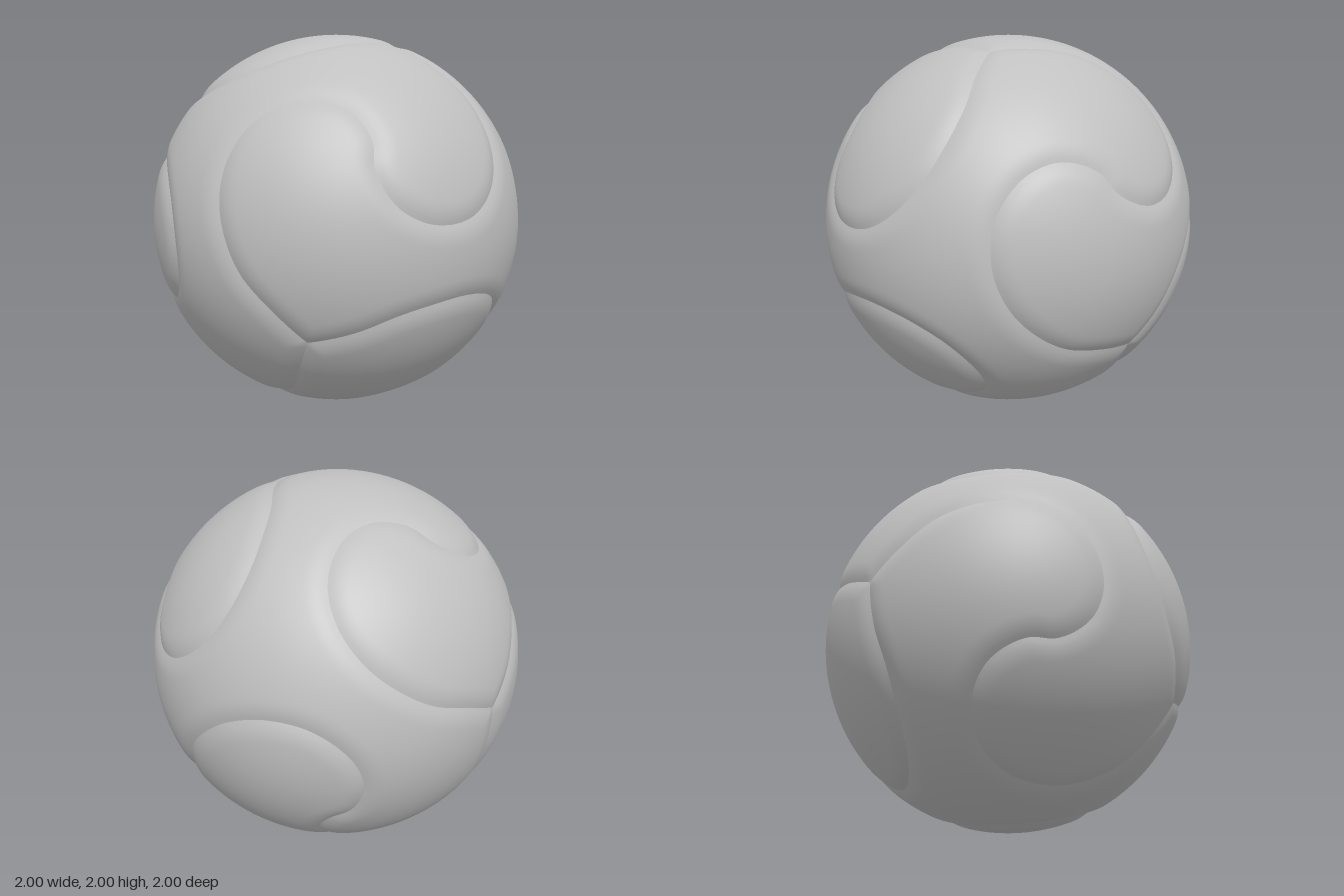
import * as THREE from 'three';
import { mergeVertices } from 'three/addons/utils/BufferGeometryUtils.js';

const DEPTH = 0.016;      // how far the seams sink
const ROLL = 0.1;         // width of the rounded panel edge
const DETAIL = 66;
const SNAP = 0.012;       // vertices this close to a seam move onto it
const turn = (axis, deg) => new THREE.Quaternion().setFromAxisAngle(axis, THREE.MathUtils.degToRad(deg));

// Two corners of a regular tetrahedron, where three panels meet
const a = new THREE.Vector3(-0.0575, -0.438, 0.897).normalize();
const u = new THREE.Vector3(0.335, 0.925, 0.13).projectOnPlane(a).normalize();
const v = a.clone().cross(u);
const c = a.clone().multiplyScalar(-1 / 3).addScaledVector(u, Math.sqrt(8) / 3);
const mid = a.clone().add(c).normalize();

// S-shaped seam from corner a to corner c: half drawn, half turned about its middle
function seamPoints(count) {
  const half = [
    [-0.206, -0.279], [-0.357, -0.107], [-0.437, 0.08], [-0.458, 0.241], [-0.421, 0.413],
    [-0.324, 0.552], [-0.206, 0.627], [-0.046, 0.66], [0.099, 0.627], [0.19, 0.552], [0.235, 0.47],
  ].map(([x, y]) => new THREE.Vector3(x, y, Math.sqrt(0.97 - x * x - y * y)).normalize());
  half.unshift(a.clone());
  const flip = turn(mid, 180);
  const other = half.map((p) => p.clone().applyQuaternion(flip)).reverse();
  const curve = new THREE.CatmullRomCurve3([...half, mid.clone(), ...other], false, 'centripetal');
  return curve.getSpacedPoints(count).map((p) => p.normalize());
}

// Closed outline of the panel opposite corner a
function panelOutline() {
  const edge = seamPoints(150).map((p) => p.applyQuaternion(turn(c, 120)));
  const loop = [];
  for (let k = 0; k < 3; k++) {
    const q = turn(a, 120 * k);
    edge.slice(0, -1).forEach((p) => loop.push(p.clone().applyQuaternion(q)));
  }
  return loop;
}

// One domed panel, cut from a fine sphere and rolled down at its seams
function panelGeometry() {
  const loop = panelOutline();
  const lines = loop.map((p, i) => new THREE.Line3(p, loop[(i + 1) % loop.length]));
  const flat = (p) => {
    const s = 1 / Math.max(1 - p.dot(a), 1e-6);
    return [p.dot(u) * s, p.dot(v) * s];
  };
  const polygon = loop.map(flat);
  const inside = (p) => {
    const [x, y] = flat(p);
    let hit = false;
    for (let i = 0, j = polygon.length - 1; i < polygon.length; j = i++) {
      const [xi, yi] = polygon[i], [xj, yj] = polygon[j];
      if ((yi > y) !== (yj > y) && x < ((xj - xi) * (y - yi)) / (yj - yi) + xi) hit = !hit;
    }
    return hit;
  };

  let ball = new THREE.IcosahedronGeometry(1, DETAIL);
  ball.deleteAttribute('uv');
  ball.deleteAttribute('normal');
  ball = mergeVertices(ball, 1e-5);
  const pos = ball.attributes.position;
  const points = [], radii = [];
  const near = new THREE.Vector3(), best = new THREE.Vector3();
  for (let i = 0; i < pos.count; i++) {
    const p = new THREE.Vector3().fromBufferAttribute(pos, i);
    let d2 = Infinity;
    for (const line of lines) {
      if (line.start.distanceToSquared(p) > 0.03) continue;
      line.closestPointToPoint(p, true, near);
      const e = near.distanceToSquared(p);
      if (e < d2) { d2 = e; best.copy(near); }
    }
    let d = Math.sqrt(d2);
    if (d < SNAP) { p.copy(best).normalize(); d = 0; }
    points.push(p);
    radii.push(1 - DEPTH * (1 - Math.min(d / ROLL, 1)) ** 2);
  }

  const index = [], middle = new THREE.Vector3();
  const all = ball.index.array;
  for (let i = 0; i < all.length; i += 3) {
    const tri = [all[i], all[i + 1], all[i + 2]];
    middle.set(0, 0, 0);
    tri.forEach((k) => middle.add(points[k]));
    if (inside(middle.normalize())) index.push(...tri);
  }
  // Keep only the vertices the panel uses
  const slot = new Map(), out = [];
  const packed = index.map((k) => {
    if (!slot.has(k)) {
      slot.set(k, slot.size);
      out.push(...points[k].clone().multiplyScalar(radii[k]).toArray());
    }
    return slot.get(k);
  });
  const geometry = new THREE.BufferGeometry();
  geometry.setAttribute('position', new THREE.Float32BufferAttribute(out, 3));
  geometry.setIndex(packed);
  geometry.computeVertexNormals();
  return geometry;
}

export function createModel() {
  const ball = new THREE.Group();
  ball.name = 'ball';
  const grey = new THREE.MeshStandardMaterial({ color: 0xc0c0c0 });
  grey.name = 'grey';

  // Four equal panels
  const geometry = panelGeometry();
  [new THREE.Quaternion(), turn(c, 120), turn(c, 240), turn(mid, 180)].forEach((q, i) => {
    const panel = new THREE.Mesh(geometry, grey);
    panel.name = `panel${i + 1}`;
    panel.quaternion.copy(q);
    panel.position.y = 1;
    ball.add(panel);
  });

  // Inner ball closing the seams
  const core = new THREE.Mesh(new THREE.SphereGeometry(0.982, 96, 64), grey);
  core.name = 'core';
  core.position.y = 1;
  ball.add(core);
  return ball;
}
